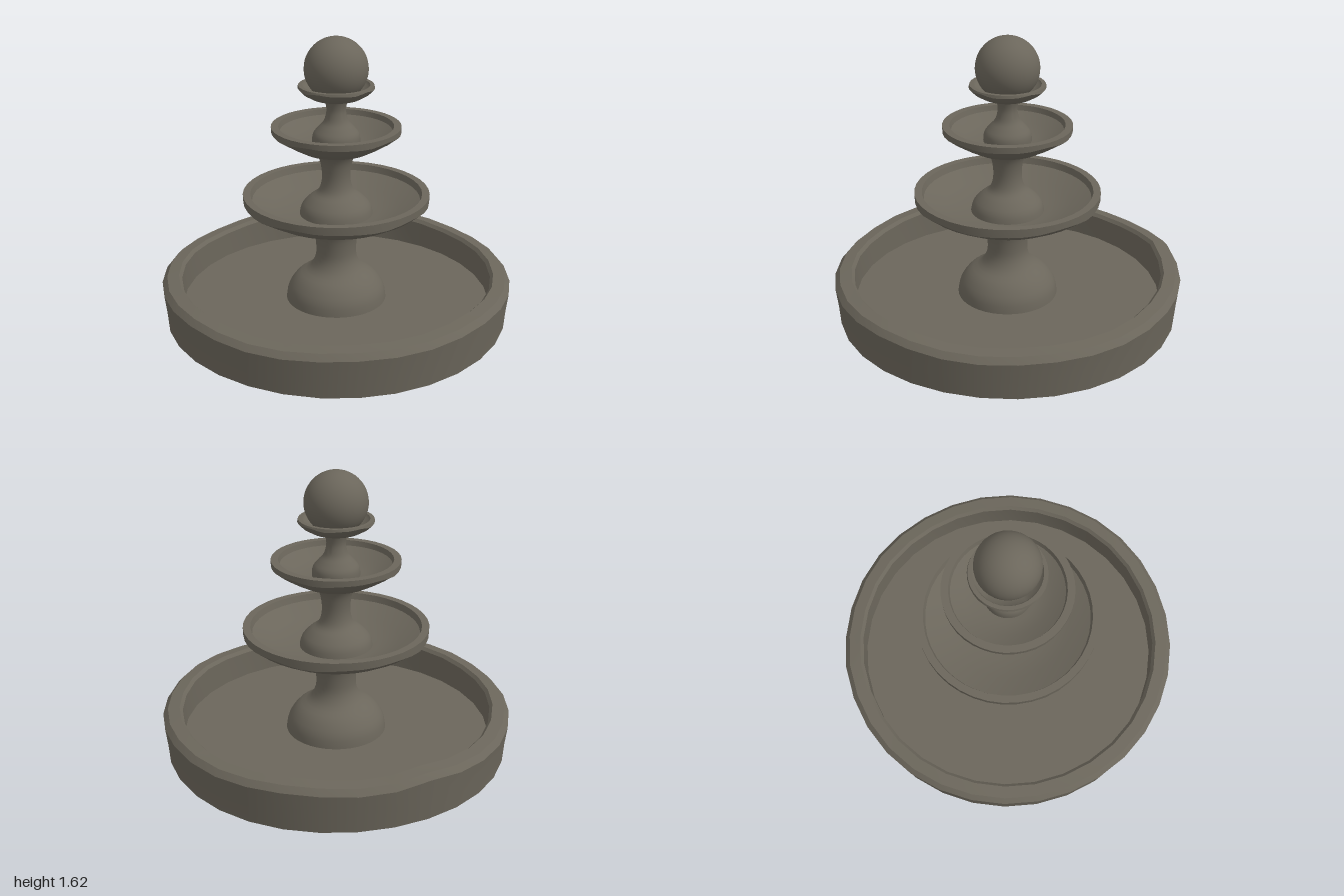
import * as THREE from 'three';
import { toCreasedNormals } from 'three/addons/utils/BufferGeometryUtils.js';

const stone = new THREE.MeshStandardMaterial({ color: 0x6b665b });
stone.name = 'weathered stone';

// Turned part from [radius, height] points; warp may displace each vertex
function turned(name, points, segments, crease, warp) {
  const profile = points.map(([r, y]) => new THREE.Vector2(r, y));
  const geometry = new THREE.LatheGeometry(profile, segments);
  if (warp) {
    const p = geometry.attributes.position;
    for (let i = 0; i < p.count; i++) {
      const x = p.getX(i), z = p.getZ(i);
      p.setY(i, p.getY(i) + warp(Math.hypot(x, z), p.getY(i), Math.atan2(x, z)));
    }
  }
  const mesh = new THREE.Mesh(toCreasedNormals(geometry, crease), stone);
  mesh.name = name;
  return mesh;
}

// Smooth pedestal through a few profile points
function pedestal(name, points) {
  const curve = new THREE.SplineCurve(points.map(([r, y]) => new THREE.Vector2(r, y)));
  return turned(name, curve.getPoints(24).map((v) => [v.x, v.y]), 40, 1.2);
}

// Worn pool rim: gentle unevenness plus one raised lump at the back
function wornRim(r, y, a) {
  if (y < 0.2) return y < 0.03 && r > 0.5 ? 0.004 * Math.sin(3 * a) : 0;
  const away = Math.atan2(Math.sin(a - 2.74), Math.cos(a - 2.74));
  const lump = 0.026 * Math.exp(-away * away / 0.03);
  return lump + 0.006 * Math.sin(3 * a + 1) + 0.004 * Math.sin(7 * a);
}

// Chipped lower edge on the bowls, with the lip itself left level
function chippedEdge(edgeY, amount) {
  return (r, y, a) => Math.abs(y - edgeY) < 0.003
    ? amount * (Math.sin(5 * a + 0.6) + 0.6 * Math.sin(9 * a)) : 0;
}

export function createModel() {
  const model = new THREE.Group();
  model.name = 'tieredFountain';

  // Ground pool with floor
  model.add(turned('pool', [
    [0, 0.008], [0.98, 0.008], [0.988, 0.12], [1, 0.225], [0.972, 0.257],
    [0.905, 0.264], [0.888, 0.245], [0.885, 0.09], [0, 0.09],
  ], 32, 0.7, wornRim));

  // Pedestals
  model.add(pedestal('lowerPedestal', [
    [0.29, 0.085], [0.275, 0.16], [0.225, 0.23], [0.155, 0.28], [0.12, 0.34],
    [0.115, 0.41], [0.125, 0.49], [0.15, 0.535], [0.19, 0.56],
  ]));
  model.add(pedestal('middlePedestal', [
    [0.21, 0.6], [0.195, 0.66], [0.15, 0.71], [0.105, 0.745], [0.085, 0.79],
    [0.08, 0.85], [0.09, 0.92], [0.11, 0.965], [0.13, 0.985],
  ]));
  model.add(pedestal('upperPedestal', [
    [0.135, 1.025], [0.13, 1.08], [0.1, 1.12], [0.07, 1.155], [0.056, 1.2],
    [0.055, 1.235], [0.065, 1.275], [0.08, 1.29],
  ]));

  // Bowls, outside up to the lip and back down the inside
  model.add(turned('lowerBowl', [
    [0.13, 0.525], [0.18, 0.548], [0.3, 0.575], [0.4, 0.615], [0.48, 0.66],
    [0.525, 0.692], [0.527, 0.738], [0.485, 0.738], [0.475, 0.7],
    [0.36, 0.65], [0.24, 0.615], [0.1, 0.605],
  ], 40, 0.6, chippedEdge(0.692, 0.005)));
  model.add(turned('middleBowl', [
    [0.09, 0.968], [0.13, 0.975], [0.2, 0.996], [0.27, 1.035], [0.33, 1.073],
    [0.36, 1.097], [0.361, 1.13], [0.32, 1.13], [0.312, 1.1],
    [0.24, 1.06], [0.16, 1.035], [0.06, 1.03],
  ], 40, 0.6, chippedEdge(1.097, 0.004)));
  model.add(turned('upperBowl', [
    [0.05, 1.275], [0.09, 1.277], [0.14, 1.292], [0.185, 1.318], [0.212, 1.348],
    [0.208, 1.362], [0.186, 1.362], [0.176, 1.345], [0.12, 1.315], [0, 1.31],
  ], 32, 0.7, chippedEdge(1.348, 0.004)));

  // Ball finial
  const ball = new THREE.Mesh(new THREE.SphereGeometry(0.177, 32, 24), stone);
  ball.name = 'ballFinial';
  ball.position.y = 1.45;
  model.add(ball);

  return model;
}
